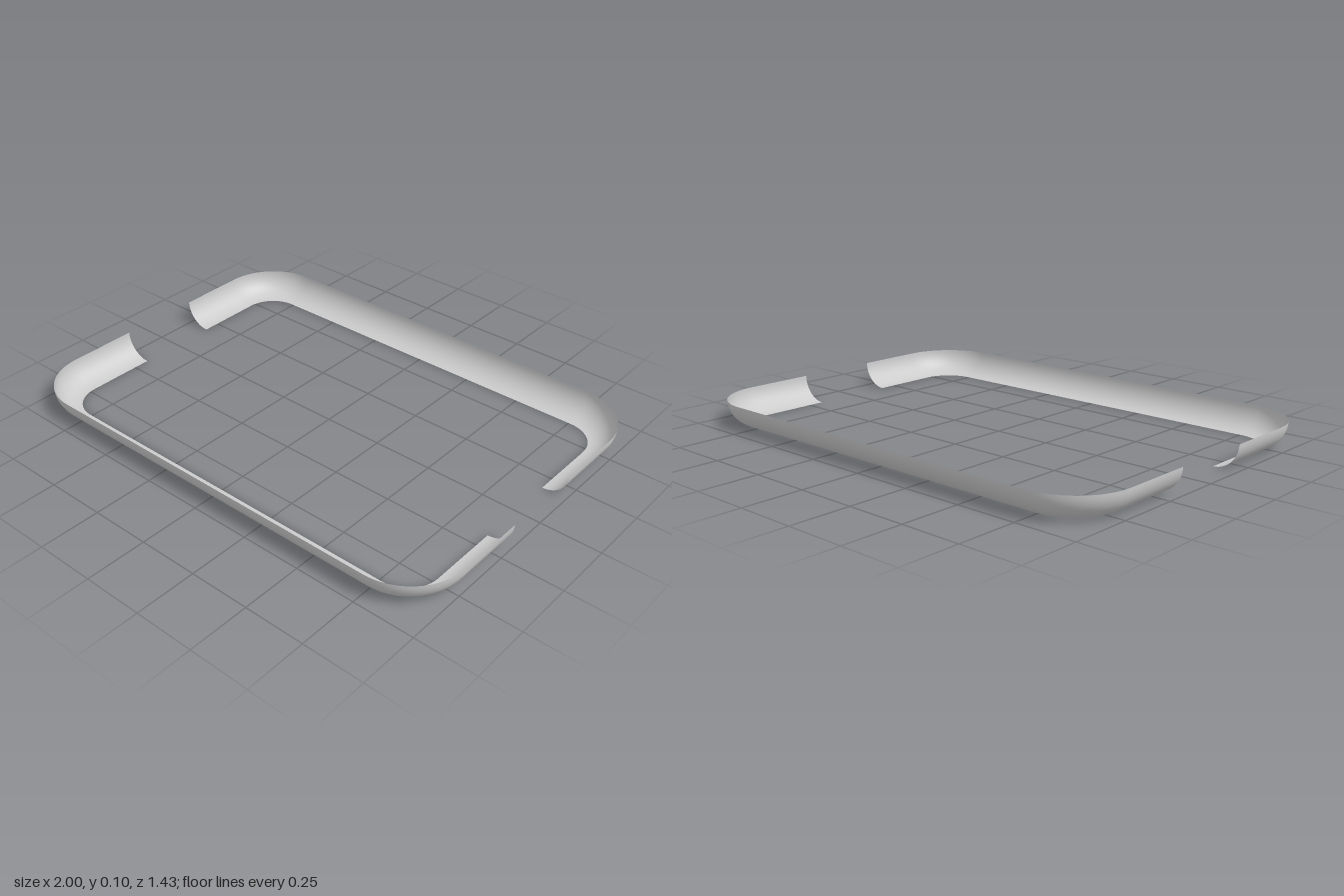
import * as THREE from 'three';

const HALF_X = 1, HALF_Z = 0.715;   // outer extents
const CORNER = 0.24;                // outer corner radius
const LIP = 0.104;                  // radius of the quarter-round section
const GAP = 0.18;                   // half the opening at each side
const ARC_STEPS = 20, LIP_STEPS = 14;

// Plan path of one U: each station is a corner-arc centre line point plus its outward normal.
function stations() {
  const cx = HALF_X - CORNER, cz = HALF_Z - CORNER;
  const list = [{ x: cx, z: GAP, a: 0 }];
  for (const side of [1, -1]) {
    for (let i = 0; i <= ARC_STEPS; i++) {
      const turn = (i / ARC_STEPS) * Math.PI / 2;
      list.push({ x: side * cx, z: cz, a: side > 0 ? turn : Math.PI / 2 + turn });
    }
  }
  list.push({ x: -cx, z: GAP, a: Math.PI });
  return list;
}

// Sweep the quarter-round section, flat at the bottom and upright at the rim.
function edgeGeometry() {
  const positions = [], index = [];
  const path = stations(), row = LIP_STEPS + 1;
  path.forEach(({ x, z, a }, i) => {
    for (let j = 0; j <= LIP_STEPS; j++) {
      const t = (j / LIP_STEPS) * Math.PI / 2;
      const r = CORNER - LIP + LIP * Math.sin(t);
      positions.push(x + r * Math.cos(a), LIP * (1 - Math.cos(t)), z + r * Math.sin(a));
      if (i < path.length - 1 && j < LIP_STEPS) {
        const p = i * row + j, q = p + row;
        index.push(p, p + 1, q, p + 1, q + 1, q);
      }
    }
  });
  const geometry = new THREE.BufferGeometry();
  geometry.setAttribute('position', new THREE.Float32BufferAttribute(positions, 3));
  geometry.setIndex(index);
  geometry.computeVertexNormals();
  return geometry;
}

export function createModel() {
  const group = new THREE.Group();
  group.name = 'roundedEdgeFrame';
  const material = new THREE.MeshStandardMaterial({ color: 0xcccccc, side: THREE.DoubleSide });
  const geometry = edgeGeometry();

  // Front half, and the same piece turned round for the back
  const front = new THREE.Mesh(geometry, material);
  front.name = 'frontEdge';
  const back = new THREE.Mesh(geometry, material);
  back.name = 'backEdge';
  back.rotation.y = Math.PI;
  group.add(front, back);
  return group;
}
